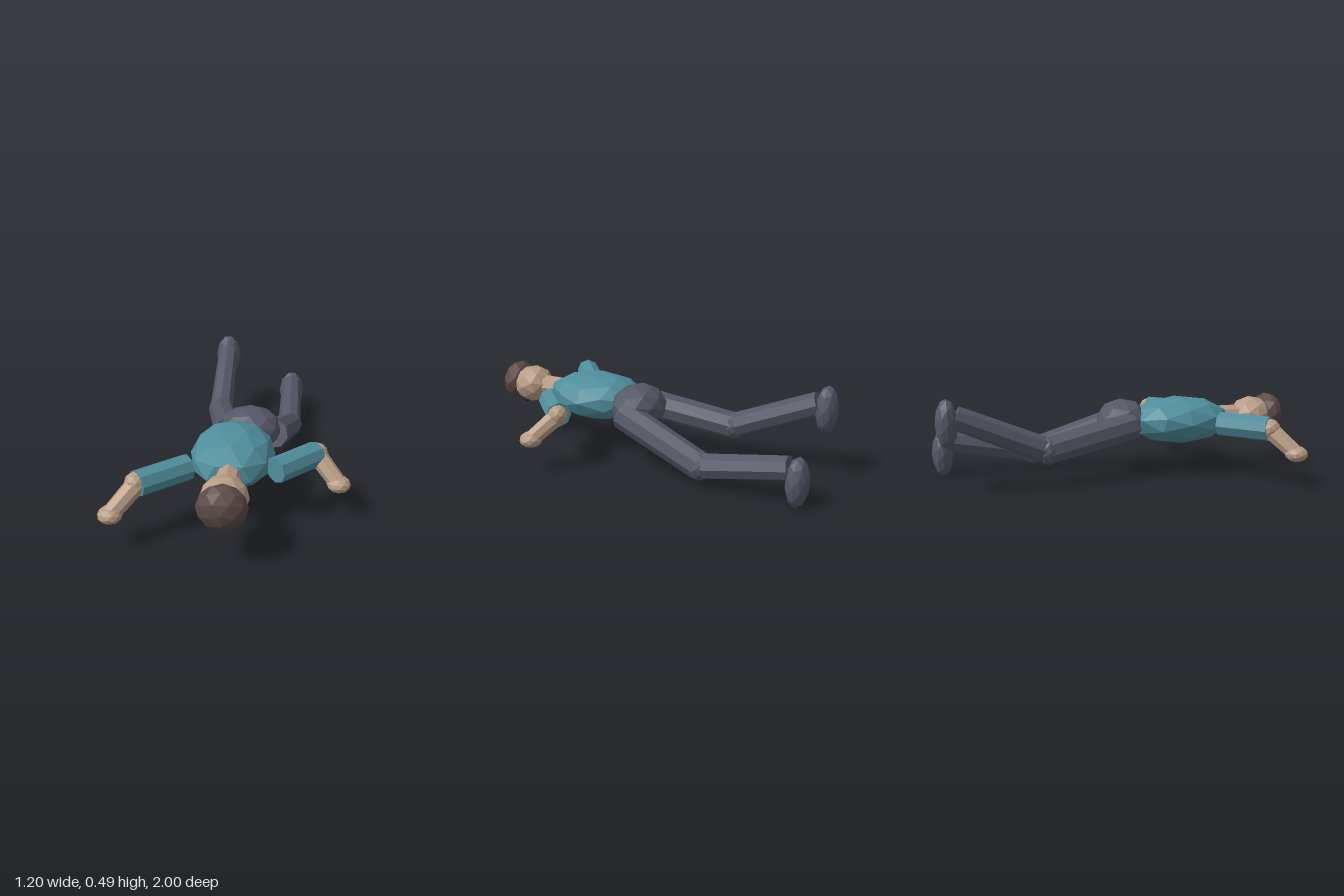
import * as THREE from 'three';

const mat = (name, color) => {
  const m = new THREE.MeshStandardMaterial({ color, flatShading: true });
  m.name = name;
  return m;
};

export function createModel() {
  const shirt = mat('teal shirt', 0x4f8e9c);
  const skin = mat('skin', 0xb89c84);
  const hairMat = mat('dark brown hair', 0x5c4a46);
  const trousers = mat('slate trousers', 0x565766);
  const eyeMat = mat('eye', 0x2a2020);

  const group = new THREE.Group();
  const add = (name, geometry, material) => {
    const mesh = new THREE.Mesh(geometry, material);
    mesh.name = name;
    group.add(mesh);
    return mesh;
  };

  // Faceted ellipsoid with one corner pointing along z
  const toPole = new THREE.Quaternion().setFromUnitVectors(
    new THREE.Vector3(0, 1, (1 + Math.sqrt(5)) / 2).normalize(), new THREE.Vector3(0, 0, 1));
  const blob = (name, material, center, radii, clip = 1) => {
    const g = new THREE.IcosahedronGeometry(1, 1).applyQuaternion(toPole);
    const p = g.attributes.position;
    for (let i = 0; i < p.count; i++) {
      p.setZ(i, THREE.MathUtils.clamp(p.getZ(i), -clip, clip));
    }
    g.scale(...radii);
    g.computeVertexNormals();
    add(name, g, material).position.set(...center);
  };

  // Eight-sided tapered limb between two points
  const limb = (name, material, from, to, r0, r1) => {
    const a = new THREE.Vector3(...from), b = new THREE.Vector3(...to);
    const dir = b.clone().sub(a);
    const mesh = add(name, new THREE.CylinderGeometry(r1, r0, dir.length(), 8), material);
    mesh.position.copy(a).add(b).multiplyScalar(0.5);
    mesh.quaternion.setFromUnitVectors(new THREE.Vector3(0, 1, 0), dir.normalize());
  };

  // Body, lying face down with the head towards +z
  blob('torso', shirt, [0, 0.31, 0.36], [0.218, 0.132, 0.3], 0.89);
  blob('hips', trousers, [0.065, 0.31, 0.045], [0.175, 0.122, 0.147]);
  limb('neck', skin, [0, 0.315, 0.58], [0, 0.315, 0.75], 0.062, 0.062);
  blob('head', skin, [0, 0.315, 0.815], [0.117, 0.108, 0.122]);
  blob('hair', hairMat, [0, 0.326, 0.918], [0.121, 0.114, 0.08]);
  for (const s of [-1, 1]) {
    blob('eye', eyeMat, [s * 0.036, 0.217, 0.85], [0.013, 0.013, 0.013]);
  }

  // Arms: right reaches forward, left is drawn back
  const arms = [
    { side: 'right', shoulder: [-0.21, 0.312, 0.525], elbow: [-0.425, 0.312, 0.71], hand: [-0.54, 0.195, 0.81] },
    { side: 'left', shoulder: [0.222, 0.312, 0.53], elbow: [0.422, 0.312, 0.33], hand: [0.54, 0.195, 0.43] },
  ];
  for (const { side, shoulder, elbow, hand } of arms) {
    limb(side + 'UpperArm', shirt, shoulder, elbow, 0.067, 0.067);
    blob(side + 'Elbow', skin, [elbow[0] * 1.02, 0.315, elbow[2]], [0.054, 0.054, 0.054]);
    limb(side + 'Forearm', skin, elbow, hand, 0.05, 0.044);
    blob(side + 'Hand', skin, hand, [0.061, 0.043, 0.061]);
  }

  // Legs, bent at the knee
  const legs = [
    { side: 'right', hip: [-0.05, 0.3, 0.07], knee: [-0.145, 0.21, -0.43], ankle: [-0.145, 0.41, -0.9], foot: 0.38 },
    { side: 'left', hip: [0.195, 0.29, 0.07], knee: [0.275, 0.12, -0.43], ankle: [0.277, 0.205, -0.9], foot: 0.138 },
  ];
  for (const { side, hip, knee, ankle, foot } of legs) {
    limb(side + 'Thigh', trousers, hip, knee, 0.08, 0.074);
    blob(side + 'Knee', trousers, knee, [0.077, 0.077, 0.06]);
    limb(side + 'Shin', trousers, knee, ankle, 0.068, 0.062);
    blob(side + 'Foot', trousers, [ankle[0], foot, -0.942], [0.079, 0.13, 0.058]);
  }
  return group;
}
